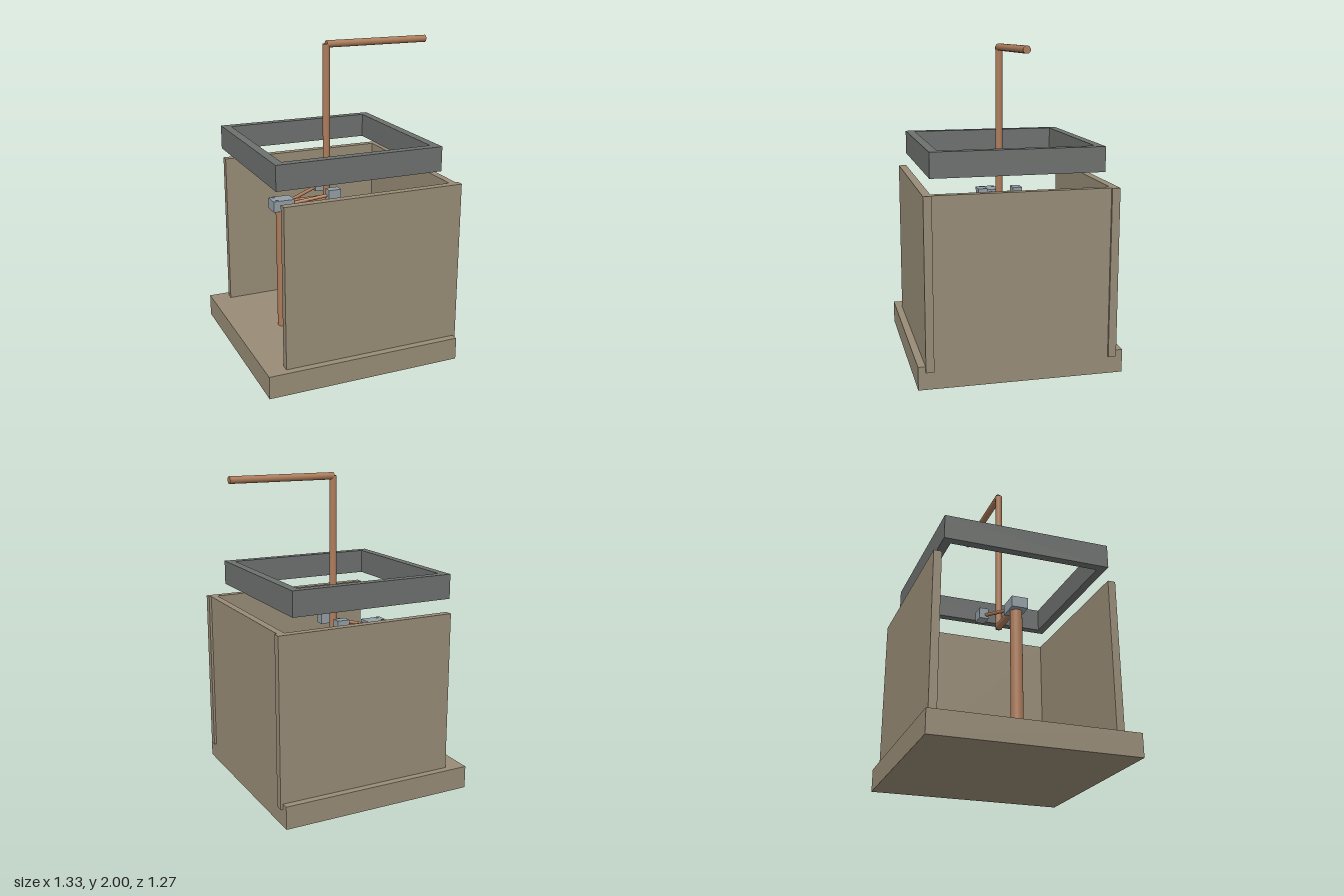
import * as THREE from 'three';

const material = (name, color) => {
  const m = new THREE.MeshStandardMaterial({ color });
  m.name = name;
  return m;
};

export function createModel() {
  const model = new THREE.Group();
  model.name = 'pumpHousing';

  const clay = material('clay', 0x988c77);
  const iron = material('iron', 0x6d716e);
  const copper = material('copper', 0xad7c5b);
  const steel = material('steel', 0x939fa5);

  const add = (name, geometry, mat) => {
    const mesh = new THREE.Mesh(geometry, mat);
    mesh.name = name;
    model.add(mesh);
    return mesh;
  };

  // Box given by its lower and upper corners
  const box = (name, mat, [x0, y0, z0], [x1, y1, z1]) => {
    const mesh = add(name, new THREE.BoxGeometry(x1 - x0, y1 - y0, z1 - z0), mat);
    mesh.position.set((x0 + x1) / 2, (y0 + y1) / 2, (z0 + z1) / 2);
  };

  // Round bar between two points
  const rod = (name, mat, radius, from, to) => {
    const a = new THREE.Vector3(...from);
    const b = new THREE.Vector3(...to);
    const axis = b.clone().sub(a);
    const mesh = add(name, new THREE.CylinderGeometry(radius, radius, axis.length(), 24), mat);
    mesh.position.copy(a).add(b).multiplyScalar(0.5);
    mesh.quaternion.setFromUnitVectors(new THREE.Vector3(0, 1, 0), axis.normalize());
  };

  // Base slab and three walls, open on the -x side
  box('base', clay, [-0.665, 0, -0.635], [0.605, 0.145, 0.635]);
  box('frontWall', clay, [-0.54, 0.11, 0.54], [0.62, 1.165, 0.59]);
  box('backWall', clay, [-0.54, 0.11, -0.59], [0.62, 1.165, -0.54]);
  box('endWall', clay, [0.56, 0.11, -0.54], [0.605, 1.165, 0.54]);

  // Square frame floating above the walls
  const outline = (path, x0, x1, z) =>
    path.moveTo(x0, -z).lineTo(x1, -z).lineTo(x1, z).lineTo(x0, z).closePath();
  const shape = outline(new THREE.Shape(), -0.565, 0.505, 0.535);
  shape.holes.push(outline(new THREE.Path(), -0.51, 0.45, 0.48));
  const frameGeometry = new THREE.ExtrudeGeometry(shape, { depth: 0.155, bevelEnabled: false });
  frameGeometry.rotateX(-Math.PI / 2);
  add('topFrame', frameGeometry, iron).position.y = 1.245;

  // Post carrying the pivot block
  rod('post', copper, 0.038, [-0.34, 0.14, 0], [-0.34, 0.96, 0]);
  box('pivotBlock', steel, [-0.41, 0.95, -0.052], [-0.27, 1.02, 0.052]);

  // Cranked handle
  rod('handleArm', copper, 0.0225, [-0.29, 0.985, 0], [-0.03, 0.985, 0]);
  rod('handleUpright', copper, 0.0225, [-0.03, 0.97, 0], [-0.03, 1.98, 0]);
  rod('handleBar', copper, 0.0225, [-0.03, 1.978, 0], [0.66, 1.978, 0]);

  // Mirrored side links, end blocks and pivot pins
  for (const s of [-1, 1]) {
    rod('sideLink', copper, 0.011, [-0.29, 0.985, s * 0.022], [-0.05, 1.04, s * 0.107]);
    box('endBlock', steel, [-0.072, 1.01, s * 0.115 - 0.03], [0.01, 1.08, s * 0.115 + 0.03]);
    rod('pivotPin', steel, 0.01, [-0.382, 0.99, s * 0.036], [-0.382, 1.023, s * 0.036]);
  }

  return model;
}
